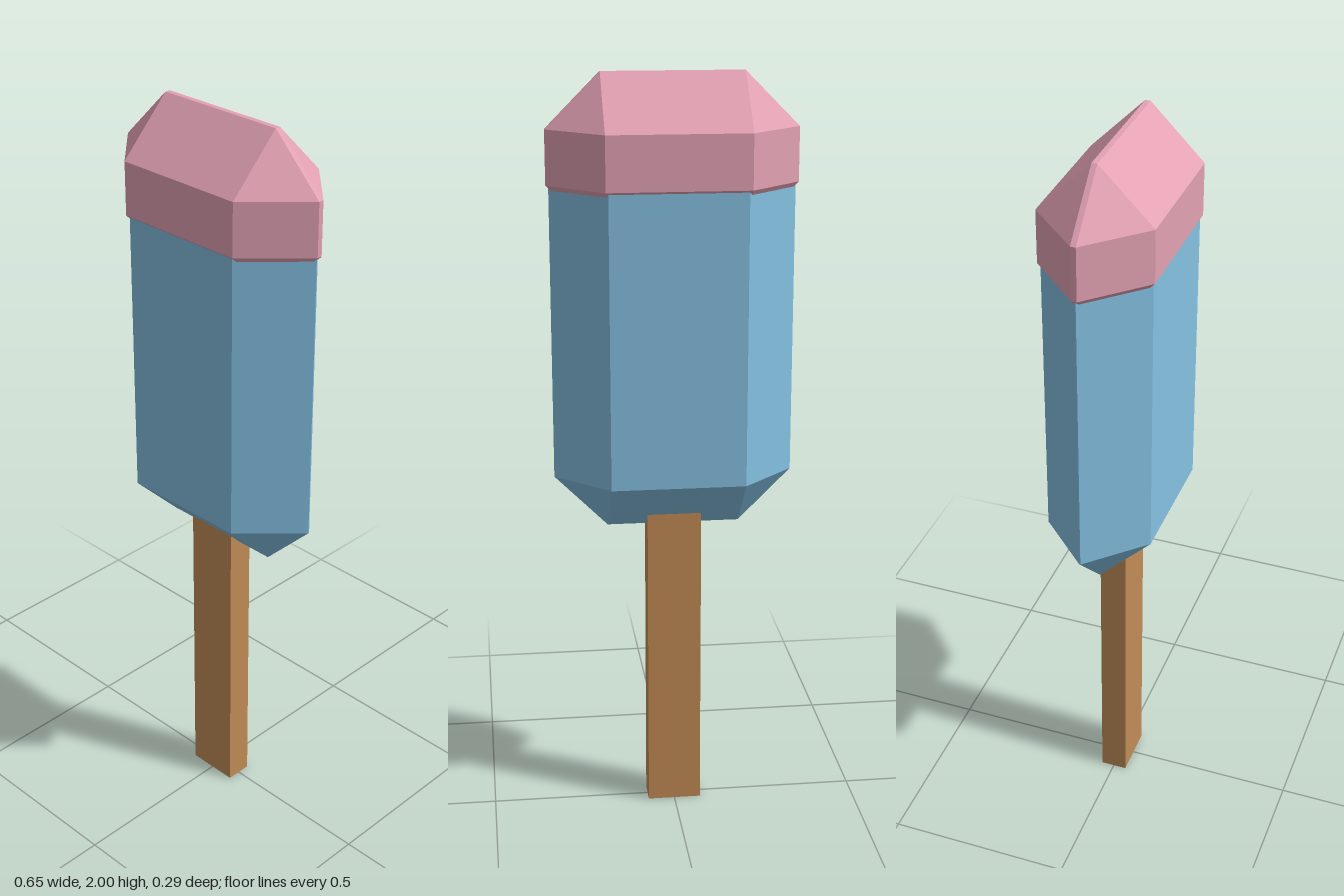
import * as THREE from 'three';
import { ConvexGeometry } from 'three/addons/geometries/ConvexGeometry.js';

const BEVEL = 0.14;

// Box with every edge and corner cut off by the same bevel
function bevelledBox(halfX, halfZ, bottom, top) {
  const halfY = (top - bottom) / 2;
  const half = [halfX, halfY, halfZ];
  const points = [];
  for (const sx of [-1, 1]) for (const sy of [-1, 1]) for (const sz of [-1, 1]) {
    // each corner becomes three points, one on each adjoining face
    for (let axis = 0; axis < 3; axis++) {
      const p = half.map((h, i) => (i === axis ? h : h - BEVEL));
      points.push(new THREE.Vector3(sx * p[0], sy * p[1], sz * p[2]));
    }
  }
  return new ConvexGeometry(points).translate(0, bottom + halfY, 0);
}

export function createModel() {
  const ice = new THREE.MeshStandardMaterial({ name: 'blueIce', color: 0x84c1e2 });
  const glaze = new THREE.MeshStandardMaterial({ name: 'pinkGlaze', color: 0xe3a2b4 });
  const wood = new THREE.MeshStandardMaterial({ name: 'wood', color: 0xc28c57 });

  const model = new THREE.Group();
  model.name = 'icePop';
  const add = (name, geometry, material) => {
    const mesh = new THREE.Mesh(geometry, material);
    mesh.name = name;
    model.add(mesh);
  };

  // Frozen body, its top hidden inside the cap
  add('iceBody', bevelledBox(0.316, 0.1415, 0.81, 1.93), ice);

  // Slightly larger coating over the top, its lower bevel sinking into the body
  add('glazeCap', bevelledBox(0.323, 0.147, 1.58, 2), glaze);

  // Stick pushed up into the body
  add('stick', new THREE.BoxGeometry(0.144, 0.96, 0.072).translate(0, 0.48, 0), wood);

  return model;
}
